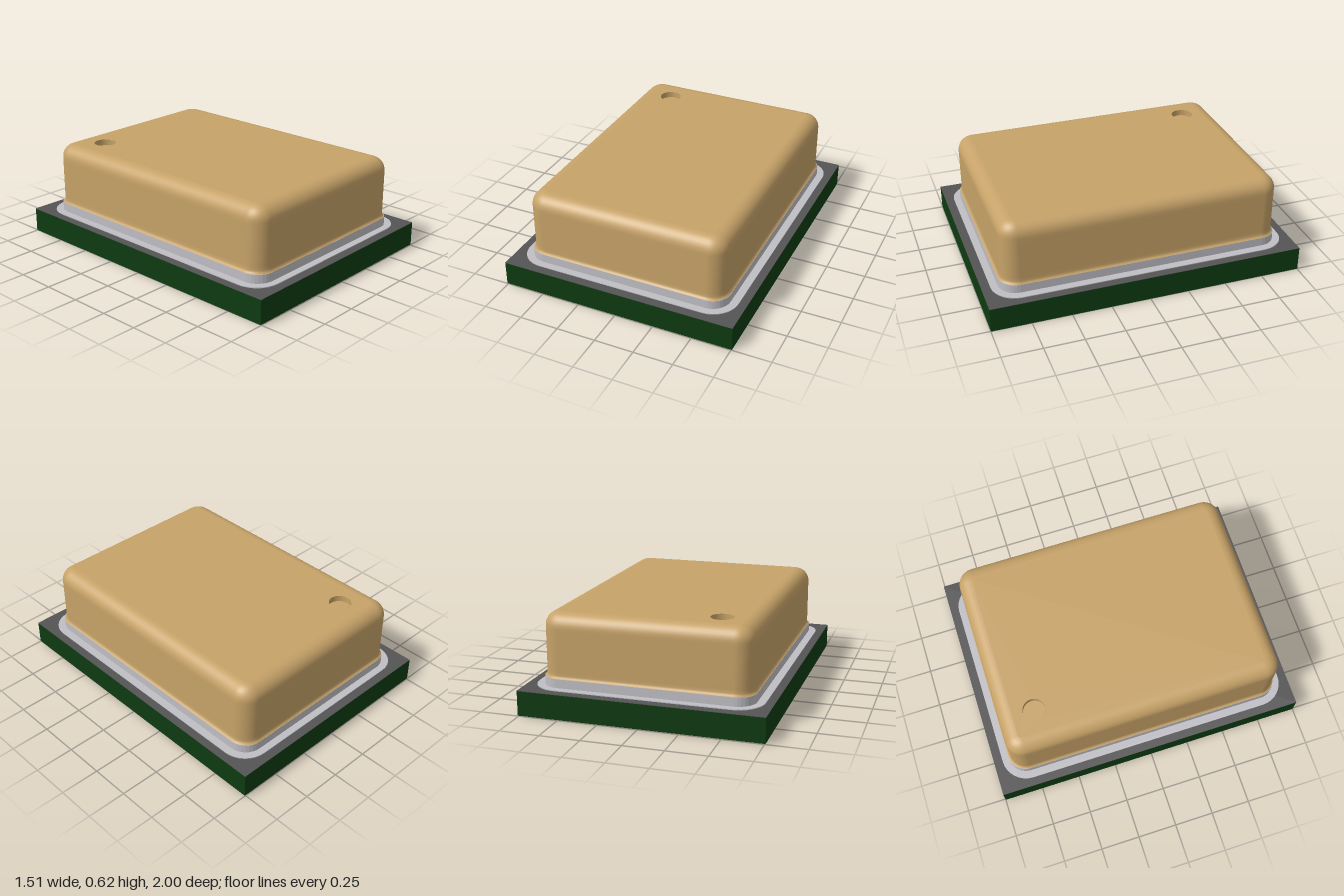
import * as THREE from 'three';

const mat = (name, color, side = THREE.FrontSide) => {
  const m = new THREE.MeshStandardMaterial({ color, side });
  m.name = name;
  return m;
};

// Outline of a rectangle with round corners, as points (x, z)
function outline(hx, hz, r, n = 8) {
  const pts = [];
  [[1, 1], [-1, 1], [-1, -1], [1, -1]].forEach(([sx, sz], q) => {
    for (let i = 0; i <= n; i++) {
      const a = (q + i / n) * Math.PI / 2;
      pts.push(new THREE.Vector2(sx * (hx - r) + r * Math.cos(a), sz * (hz - r) + r * Math.sin(a)));
    }
  });
  return pts;
}

const rect = (hx, hz) => [[hx, hz], [-hx, hz], [-hx, -hz], [hx, -hz]].map(p => new THREE.Vector2(...p));

// Horizontal shape with an optional round hole; holes are [x, z, radius]
function flatShape(pts, hole) {
  const s = new THREE.Shape(pts.map(p => new THREE.Vector2(p.x, -p.y)).reverse());
  if (hole) s.holes.push(new THREE.Path().absarc(hole[0], -hole[1], hole[2], 0, Math.PI * 2, true));
  return s;
}

function slab(pts, y0, y1, hole) {
  const g = new THREE.ExtrudeGeometry(flatShape(pts, hole), { depth: y1 - y0, bevelEnabled: false, curveSegments: 40 });
  return g.rotateX(-Math.PI / 2).translate(0, y0, 0);
}

// Smooth skin through stacked outlines, from [inset, y] pairs
function skin(hx, hz, r, profile) {
  const pos = [], idx = [];
  let n = 0;
  profile.forEach(([inset, y]) => {
    const loop = outline(hx - inset, hz - inset, r - inset);
    n = loop.length;
    loop.forEach(p => pos.push(p.x, y, p.y));
  });
  for (let j = 0; j < profile.length - 1; j++) {
    for (let i = 0; i < n; i++) {
      const a = j * n + i, b = j * n + (i + 1) % n;
      idx.push(a, a + n, b, b, a + n, b + n);
    }
  }
  const g = new THREE.BufferGeometry();
  g.setAttribute('position', new THREE.Float32BufferAttribute(pos, 3));
  g.setIndex(idx);
  g.computeVertexNormals();
  return g;
}

export function createModel() {
  const model = new THREE.Group();
  model.name = 'sensorPackage';
  const brass = mat('brass', 0xc6a268);
  const brassInside = mat('brass', 0xc6a268, THREE.DoubleSide);
  const green = mat('boardGreen', 0x0e3a10);
  const mask = mat('darkMask', 0x545454);
  const solder = mat('solderGrey', 0xbebec4);
  const add = (name, geometry, material) => {
    const m = new THREE.Mesh(geometry, material);
    m.name = name;
    model.add(m);
    return m;
  };

  const HX = 0.756, HZ = 1, PLATE = 0.003, STEP = 0.053, TOP = 0.16;
  const PZ = 0.41, PORT = 0.085, RECESS = 0.29;
  const tube = (r, y0, y1, x, z) =>
    new THREE.CylinderGeometry(r, r, y1 - y0, 40, 1, true).translate(x, (y0 + y1) / 2, z);

  // Circuit board with a stepped sound port underneath
  add('boardLower', slab(rect(HX, HZ), PLATE, STEP, [0, PZ, RECESS]), green);
  add('boardUpper', slab(rect(HX, HZ), STEP, TOP - PLATE, [0, PZ, PORT]), green);
  add('boardTopMask', slab(rect(HX, HZ), TOP - PLATE, TOP), mask);

  // Plated port: recess wall, recess floor and hole lining
  add('recessWall', tube(RECESS - 0.001, 0, STEP, 0, PZ), brassInside);
  add('recessFloor', new THREE.RingGeometry(PORT - 0.002, RECESS, 40)
    .rotateX(Math.PI / 2).translate(0, STEP - 0.002, PZ), brass);
  add('portLining', tube(PORT - 0.002, STEP - 0.002, 0.11, 0, PZ), brassInside);

  // Underside mask, contact ring and pads
  const maskPts = rect(0.633, 0.52).map(p => new THREE.Vector2(p.x, p.y + PZ));
  add('undersideMask', slab(maskPts, 0, PLATE, [0, PZ, 0.46]), mask);
  const ring = new THREE.Shape().absarc(0, -PZ, 0.46, 0, Math.PI * 2, false);
  ring.holes.push(new THREE.Path().absarc(0, -PZ, RECESS, 0, Math.PI * 2, true));
  add('contactRing', new THREE.ExtrudeGeometry(ring, { depth: PLATE, bevelEnabled: false, curveSegments: 40 })
    .rotateX(-Math.PI / 2), brass);
  [[-0.51, -0.785], [0, -0.785], [0.51, -0.785], [-0.51, -0.315], [0.51, -0.315]].forEach(([x, z]) =>
    add('contactPad', new THREE.BoxGeometry(0.34, PLATE, 0.31).translate(x, PLATE / 2, z), brass));

  // Solder track and bead around the lid
  add('solderTrack', slab(outline(0.705, 0.945, 0.16), TOP, TOP + 0.005), solder);
  add('solderBead', slab(outline(0.656, 0.9, 0.115), TOP + 0.005, 0.22), solder);

  // Lid: flared foot, straight wall and rounded shoulder
  const R = 0.088, LID = 0.618, profile = [[-0.013, 0.22], [-0.004, 0.226], [0, 0.237], [0, 0.26], [0, LID - R - 0.02]];
  for (let i = 0; i <= 8; i++) {
    const a = i / 8 * Math.PI / 2;
    profile.push([R * (1 - Math.cos(a)), LID - R + R * Math.sin(a)]);
  }
  add('lidShell', skin(0.642, 0.886, 0.105, profile), brass);

  // Lid top with a shallow vent
  const vent = [-0.41, -0.66, 0.07], depth = 0.04;
  add('lidTop', new THREE.ShapeGeometry(flatShape(outline(0.642 - R, 0.886 - R, 0.105 - R), vent), 40)
    .rotateX(-Math.PI / 2).translate(0, LID, 0), brass);
  add('ventWall', tube(vent[2], LID - depth, LID, vent[0], vent[1]), brassInside);
  add('ventFloor', new THREE.CircleGeometry(vent[2], 40)
    .rotateX(-Math.PI / 2).translate(vent[0], LID - depth, vent[1]), brass);

  return model;
}
